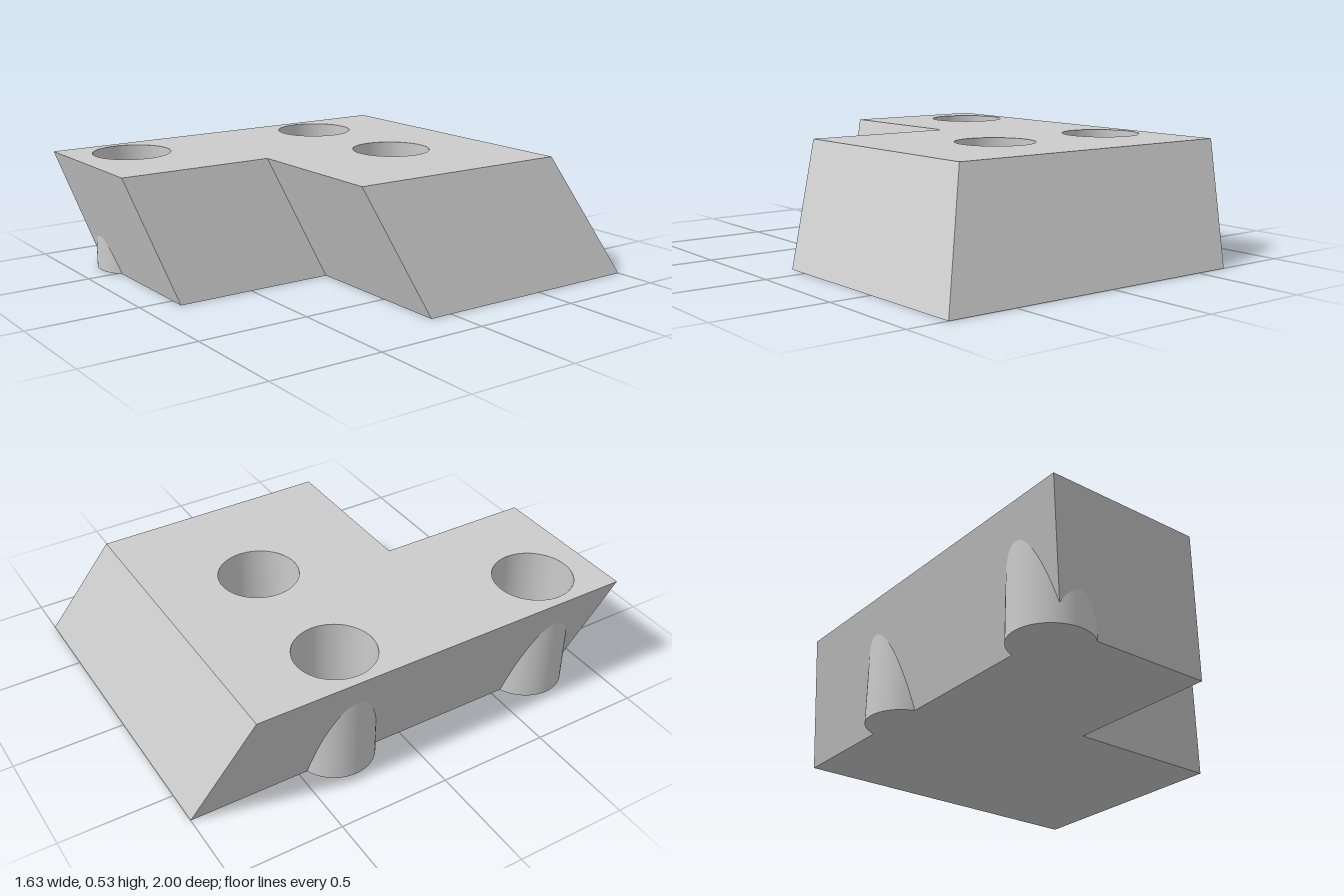
import * as THREE from 'three';

const HEIGHT = 0.53;
const RADIUS = 0.177;
const wells = [[-0.6, -0.295], [0.03, -0.295], [-0.6, 0.715]];

// L-shaped outlines as [x, z], listed in the same order
const topOutline = [[0.59, -0.77], [0.59, 0.29], [-0.115, 0.29], [-0.115, 1], [-0.82, 1], [-0.82, -0.77]];
const baseOutline = [[0.815, -1], [0.815, 0.105], [0.075, 0.105], [0.075, 0.845], [-0.66, 0.845], [-0.66, -1]];

// Flat faces joining the base outline to the top outline
function slopedWalls() {
  const positions = [];
  baseOutline.forEach((_, i) => {
    const j = (i + 1) % baseOutline.length;
    const low = (k) => [baseOutline[k][0], 0, baseOutline[k][1]];
    const high = (k) => [topOutline[k][0], HEIGHT, topOutline[k][1]];
    positions.push(...low(i), ...high(i), ...low(j), ...low(j), ...high(i), ...high(j));
  });
  const geometry = new THREE.BufferGeometry();
  geometry.setAttribute('position', new THREE.Float32BufferAttribute(positions, 3));
  geometry.computeVertexNormals();
  return geometry;
}

// Top face with a round opening over each well
function topFace() {
  const shape = new THREE.Shape(topOutline.map(([x, z]) => new THREE.Vector2(x, -z)));
  for (const [x, z] of wells) {
    shape.holes.push(new THREE.Path().absarc(x, -z, RADIUS, 0, Math.PI * 2, true));
  }
  return new THREE.ShapeGeometry(shape, 64).rotateX(-Math.PI / 2).translate(0, HEIGHT, 0);
}

// Bottom face, bulging where the left wells stick out past the walls
function bottomFace() {
  const [backWell, , frontWell] = wells;
  const left = baseOutline[4][0], front = baseOutline[4][1];
  const leftAngle = Math.acos((left - backWell[0]) / RADIUS);
  const frontAngle = Math.asin((front - frontWell[1]) / RADIUS);
  const shape = new THREE.Shape();
  shape.moveTo(...baseOutline[0]);
  for (const p of baseOutline.slice(1, 4)) shape.lineTo(...p);
  shape.absarc(...frontWell, RADIUS, frontAngle, Math.PI * 2 - leftAngle, false);
  shape.absarc(...backWell, RADIUS, leftAngle, Math.PI * 2 - leftAngle, false);
  shape.lineTo(...baseOutline[5]);
  return new THREE.ShapeGeometry(shape, 48).rotateX(Math.PI / 2);
}

export function createModel() {
  const model = new THREE.Group();
  model.name = 'slopedBlock';
  const flat = new THREE.MeshStandardMaterial({ color: 0xcccccc, flatShading: true, side: THREE.DoubleSide });
  const smooth = new THREE.MeshStandardMaterial({ color: 0xcccccc, side: THREE.DoubleSide });

  const add = (name, geometry, material) => {
    const mesh = new THREE.Mesh(geometry, material);
    mesh.name = name;
    model.add(mesh);
    return mesh;
  };

  add('slopedWalls', slopedWalls(), flat);
  add('topFace', topFace(), flat);
  add('bottomFace', bottomFace(), flat);

  // Upright round wells, open at the top
  const wellGeometry = new THREE.CylinderGeometry(RADIUS, RADIUS, HEIGHT, 64, 1, true);
  for (const [x, z] of wells) add('wellWall', wellGeometry, smooth).position.set(x, HEIGHT / 2, z);

  return model;
}
